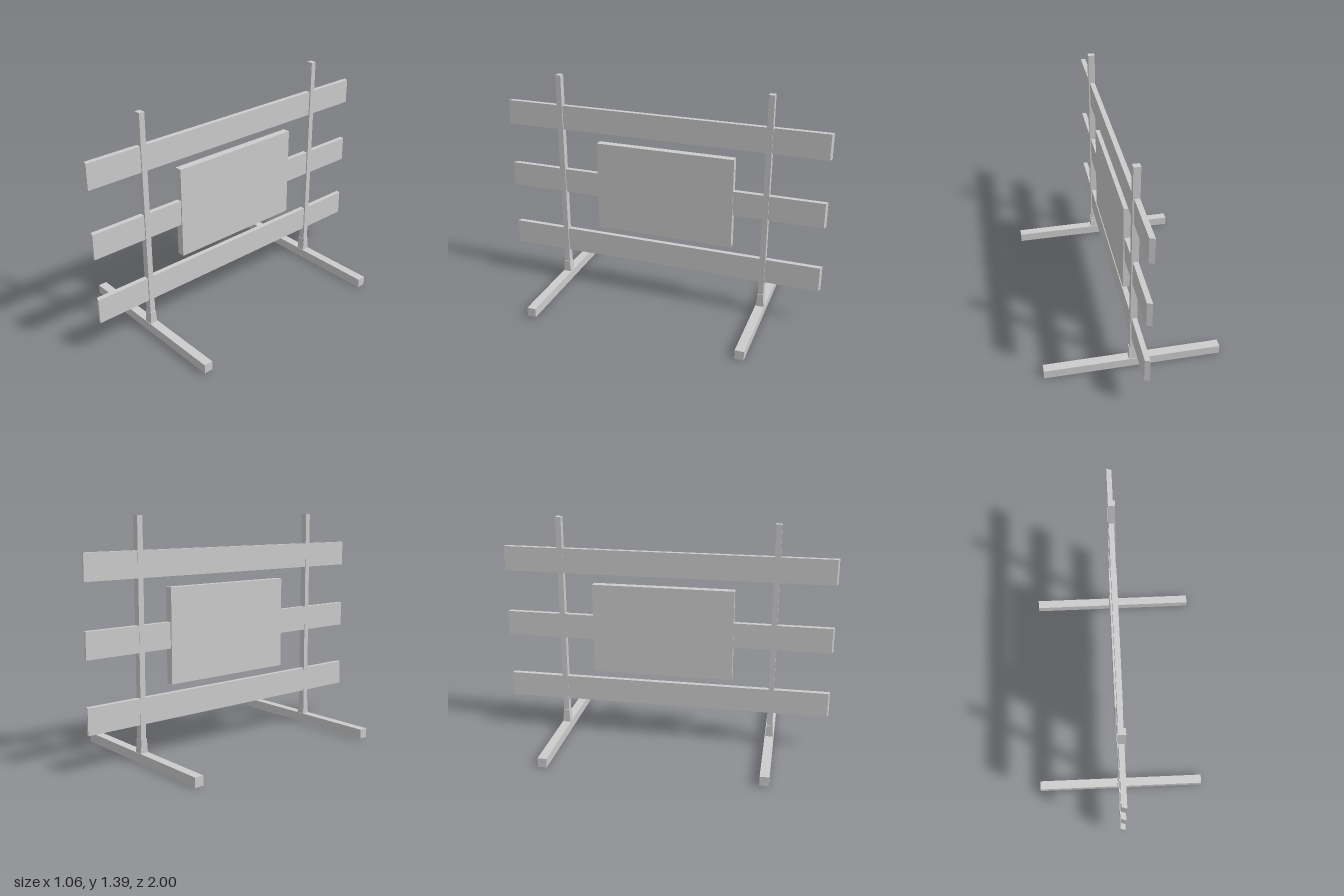
import * as THREE from 'three';

const material = new THREE.MeshStandardMaterial({ color: 0xcccccc, flatShading: true });

// Box given by its lower and upper corners
function box(name, [x0, y0, z0], [x1, y1, z1]) {
  const geometry = new THREE.BoxGeometry(x1 - x0, y1 - y0, z1 - z0);
  geometry.translate((x0 + x1) / 2, (y0 + y1) / 2, (z0 + z1) / 2);
  const mesh = new THREE.Mesh(geometry, material);
  mesh.name = name;
  return mesh;
}

// Moves every vertex of a mesh by a rule
function reshape(mesh, rule) {
  const p = mesh.geometry.attributes.position;
  const v = new THREE.Vector3();
  for (let i = 0; i < p.count; i++) {
    rule(v.fromBufferAttribute(p, i));
    p.setXYZ(i, v.x, v.y, v.z);
  }
  mesh.geometry.computeVertexNormals();
  return mesh;
}

// Foot beam, tapered socket and upright post
function createStand(name, z, floor) {
  const stand = new THREE.Group();
  stand.name = name;
  stand.add(box('foot', [-0.528, floor, -0.027], [0.528, floor + 0.056, 0.027]));
  const socket = box('socket', [-0.025, floor + 0.05, -0.024], [0.025, 0.138, 0.024]);
  stand.add(reshape(socket, v => { if (v.y > 0.1) v.z *= 0.75; }));
  stand.add(box('post', [-0.02, floor + 0.05, -0.017], [0.02, 1.387, 0.017]));
  stand.position.z = z;
  return stand;
}

export function createModel() {
  const model = new THREE.Group();
  model.name = 'barrier';

  model.add(createStand('frontStand', 0.649, 0.008));
  model.add(createStand('rearStand', -0.649, 0));

  // Three rails with slightly slanted ends
  [['lowerRail', 0.221, 0.373], ['middleRail', 0.632, 0.785], ['upperRail', 1.046, 1.198]]
    .forEach(([name, y0, y1]) => {
      const rail = box(name, [-0.018, y0, -0.995], [0.012, y1, 0.995]);
      model.add(reshape(rail, v => { v.z += (v.x + 0.003) * 0.33; }));
    });

  // Sign panel around the middle rail
  model.add(box('signPanel', [-0.027, 0.424, -0.452], [0.019, 0.984, 0.409]));

  return model;
}
